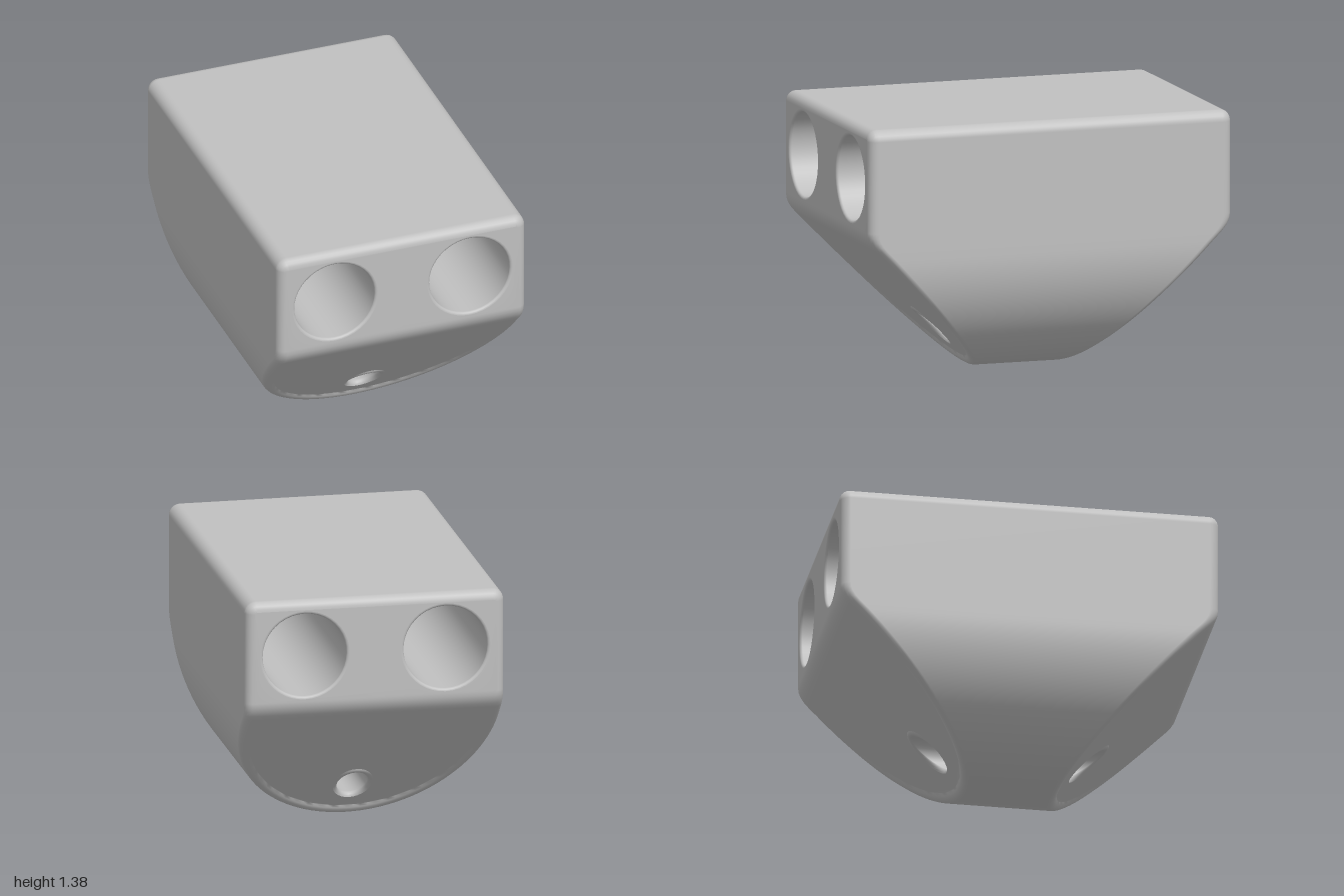
import * as THREE from 'three';
import { mergeVertices } from 'three/addons/utils/BufferGeometryUtils.js';

const FOLD = 0.785, BEND = 0.05, EDGE = 0.05;

// Half length of the block at height y: upright above the fold, 45 degrees below, softly bent between
function halfLength(y) {
  if (y >= FOLD + BEND) return 1;
  if (y <= FOLD - BEND) return 1 - (FOLD - y);
  return 1 - (FOLD + BEND - y) ** 2 / (4 * BEND);
}

// Right half of the U-shaped section, from bottom centre to the top, with outward normals
function halfSection() {
  const pts = [];
  const R = 0.69;
  for (let i = 0; i <= 28; i++) {
    const a = -Math.PI / 2 + (i / 28) * Math.PI / 2;
    const nx = i === 0 ? 0 : Math.cos(a), ny = Math.sin(a);
    pts.push({ x: R * nx, y: R + R * ny, nx, ny });
  }
  for (let i = 0; i <= 4; i++) pts.push({ x: R, y: FOLD - BEND + i * BEND / 2, nx: 1, ny: 0 });
  for (let i = 0; i <= 6; i++) {
    const a = (i / 6) * Math.PI / 2, r = 0.06;
    const nx = Math.cos(a), ny = Math.sin(a);
    pts.push({ x: R - r + r * nx, y: 1.38 - r + r * ny, nx, ny });
  }
  return pts;
}

// Close a half section into a counter-clockwise loop
function mirrorLoop(half) {
  const left = half.filter((p) => p.x > 1e-6)
    .map((p) => ({ ...p, x: -p.x, nx: -p.nx })).reverse();
  return [...half, ...left];
}

function toGeometry(positions) {
  let g = new THREE.BufferGeometry();
  g.setAttribute('position', new THREE.Float32BufferAttribute(positions, 3));
  g = mergeVertices(g, 1e-4);
  g.computeVertexNormals();
  return g;
}

// Skin a list of closed rings running front to back
function skin(out, rings, inward) {
  for (let k = 0; k < rings.length - 1; k++) {
    const n = rings[k].length;
    for (let i = 0; i < n; i++) {
      const j = (i + 1) % n;
      const a = rings[k][i], b = rings[k + 1][i], c = rings[k + 1][j], d = rings[k][j];
      const tris = inward ? [a, c, b, a, d, c] : [a, b, c, a, c, d];
      tris.forEach((p) => out.push(...p));
    }
  }
}

// Rings with quarter-round edges at both ends; grow is +1 to flare out, -1 to draw in
function roundedRings(loop, radius, grow) {
  const front = [];
  for (let k = 0; k <= 5; k++) {
    const a = (k / 5) * Math.PI / 2;
    const d = grow * radius * (1 - Math.sin(a));
    front.push(loop.map((p) => {
      const endY = p.y + p.ny * grow * radius;
      return [p.x + p.nx * d, p.y + p.ny * d, halfLength(endY) - radius * (1 - Math.cos(a))];
    }));
  }
  const back = front.map((r) => r.map(([x, y, z]) => [x, y, -z])).reverse();
  return [...front, ...back];
}

function circle(cx, cy, r, n) {
  return Array.from({ length: n }, (_, i) => {
    const a = (i / n) * Math.PI * 2, nx = Math.cos(a), ny = Math.sin(a);
    return { x: cx + r * nx, y: cy + r * ny, nx, ny };
  });
}

export function createModel() {
  const group = new THREE.Group();
  const grey = new THREE.MeshStandardMaterial({ color: 0xc0c0c0 });
  grey.name = 'plain grey';

  const bores = [
    { name: 'upperBoreLeft', x: 0.375, y: 1.085, r: 0.223, f: 0.015, n: 40 },
    { name: 'upperBoreRight', x: -0.375, y: 1.085, r: 0.223, f: 0.015, n: 40 },
    { name: 'lowerBore', x: 0, y: 0.213, r: 0.08, f: 0.025, n: 28 },
  ];

  // Outer wall with rounded end edges
  const half = halfSection();
  const pos = [];
  skin(pos, roundedRings(mirrorLoop(half), EDGE, -1), false);

  // End faces, front and back, from a flat list of triangle corners
  const addEnds = (tri) => {
    const p = tri.map((v) => [v.x, v.y, halfLength(v.y)]);
    p.forEach((v) => pos.push(...v));
    [p[0], p[2], p[1]].forEach(([x, y, z]) => pos.push(x, y, -z));
  };
  const addPanel = (loop, holes) => {
    const contour = loop.map((p) => new THREE.Vector2(p.x, p.y));
    const inner = holes.map((h) => circle(h.x, h.y, h.r + h.f, h.n)
      .map((p) => new THREE.Vector2(p.x, p.y)).reverse());
    const all = [contour, ...inner].flat();
    THREE.ShapeUtils.triangulateShape(contour, inner)
      .forEach((t) => addEnds(t.map((i) => all[i])));
  };
  const inset = half.map((p) => ({ ...p, x: p.x - p.nx * EDGE, y: p.y - p.ny * EDGE }));
  const low = FOLD - BEND, high = FOLD + BEND, e = 1e-6;
  addPanel(mirrorLoop(inset.filter((p) => p.y <= low + e)), [bores[2]]);
  addPanel(mirrorLoop(inset.filter((p) => p.y >= high - e)), [bores[0], bores[1]]);

  // Soft fold between the upright and sloping panels
  const fold = inset.filter((p) => p.y >= low - e && p.y <= high + e);
  for (let i = 0; i < fold.length - 1; i++) {
    const a = fold[i], b = fold[i + 1];
    const am = { x: -a.x, y: a.y }, bm = { x: -b.x, y: b.y };
    addEnds([am, a, b]);
    addEnds([am, b, bm]);
  }
  const body = new THREE.Mesh(toGeometry(pos), grey);
  body.name = 'body';
  group.add(body);

  // Through holes with softened rims
  for (const h of bores) {
    const tube = [];
    skin(tube, roundedRings(circle(h.x, h.y, h.r, h.n), h.f, 1), true);
    const mesh = new THREE.Mesh(toGeometry(tube), grey);
    mesh.name = h.name;
    group.add(mesh);
  }
  return group;
}
